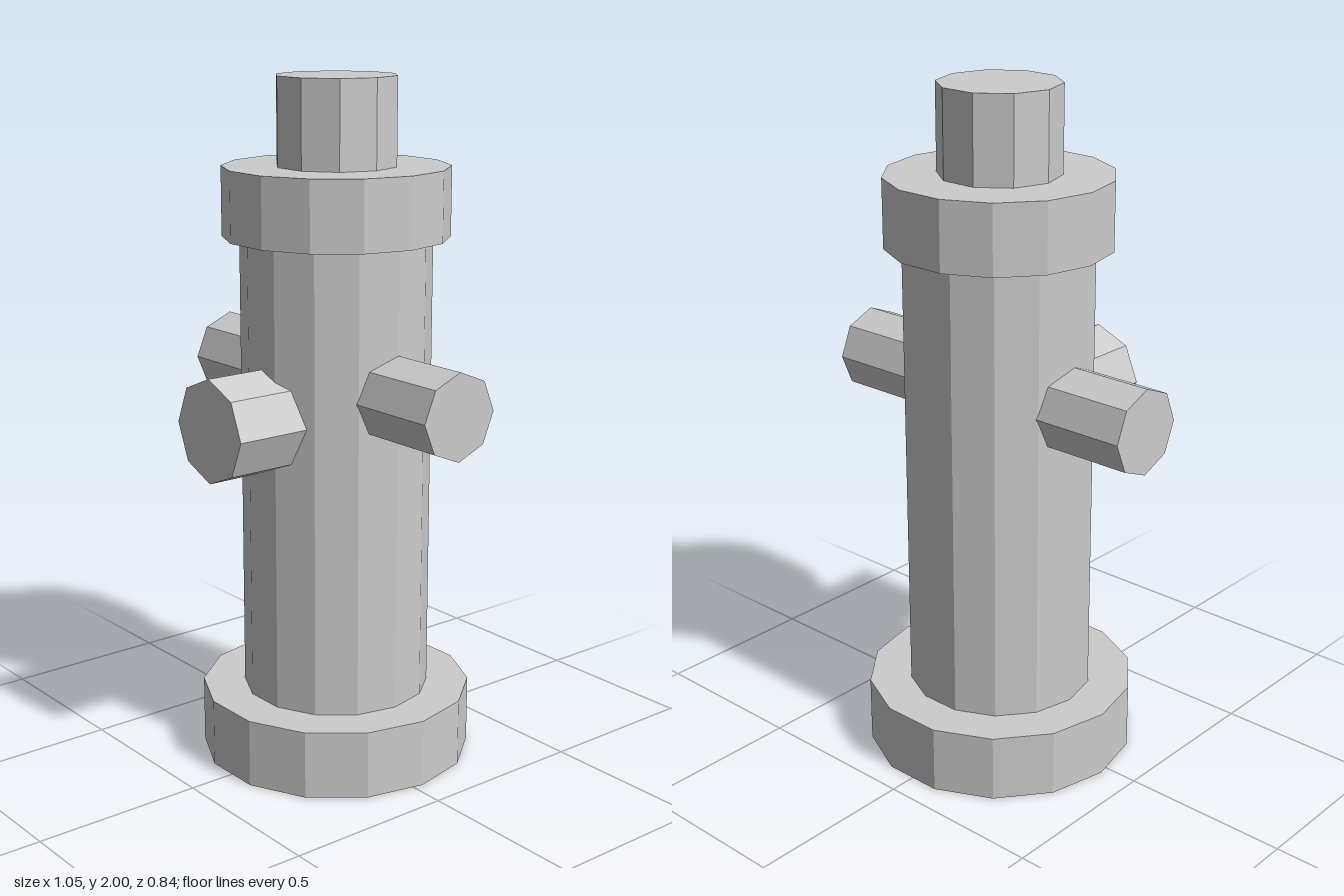
import * as THREE from 'three';

const AXIS_Z = -0.03; // the barrel sits slightly behind the origin

export function createModel() {
  const model = new THREE.Group();
  model.name = 'fireHydrant';
  const grey = new THREE.MeshStandardMaterial({ color: 0xcccccc, flatShading: true });
  grey.name = 'light grey';

  function add(name, geometry, x, y, z) {
    const mesh = new THREE.Mesh(geometry, grey);
    mesh.name = name;
    mesh.position.set(x, y, z);
    model.add(mesh);
  }

  // Upright drums, turned so that a flat side faces front
  function drum(name, radius, bottom, top, sides) {
    const geometry = new THREE.CylinderGeometry(radius, radius, top - bottom, sides);
    geometry.rotateY(Math.PI / sides);
    add(name, geometry, 0, (bottom + top) / 2, AXIS_Z);
  }
  drum('baseFlange', 0.4, 0, 0.2, 14);
  drum('barrel', 0.275, 0.2, 1.55, 14);
  drum('bonnet', 0.325, 1.55, 1.75, 14);
  drum('operatingNut', 0.175, 1.75, 2, 10);

  // Octagonal side outlets, rooted inside the barrel
  for (const side of [1, -1]) {
    const outlet = new THREE.CylinderGeometry(0.125, 0.125, 0.375, 8);
    outlet.rotateZ(Math.PI / 2);
    add(side > 0 ? 'leftOutlet' : 'rightOutlet', outlet, side * 0.3375, 1.125, AXIS_Z);
  }

  // Larger front outlet
  const front = new THREE.CylinderGeometry(0.15, 0.15, 0.3, 8);
  front.rotateX(Math.PI / 2);
  add('frontOutlet', front, 0, 1.05, 0.27);

  return model;
}
